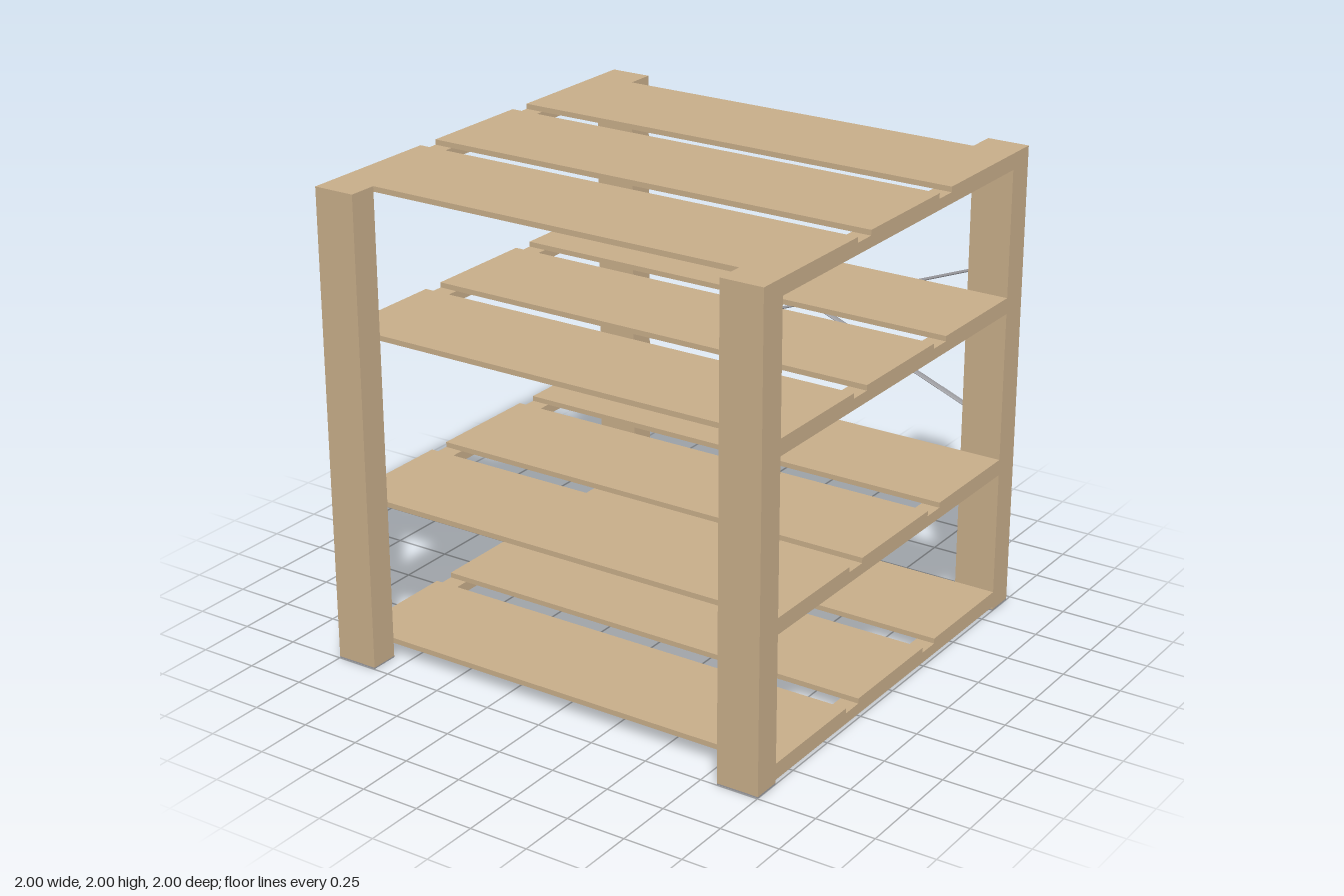
import * as THREE from 'three';

export function createModel() {
  const model = new THREE.Group();
  model.name = 'slattedShelf';
  const wood = new THREE.MeshStandardMaterial({ color: 0xc8ae8a });
  wood.name = 'wood';
  const metal = new THREE.MeshStandardMaterial({ color: 0x9a9a9e });
  metal.name = 'metal';

  // Box given by its lower and upper limits on each axis
  function box(name, material, [x0, x1], [y0, y1], [z0, z1], parent = model) {
    const mesh = new THREE.Mesh(new THREE.BoxGeometry(x1 - x0, y1 - y0, z1 - z0), material);
    mesh.position.set((x0 + x1) / 2, (y0 + y1) / 2, (z0 + z1) / 2);
    mesh.name = name;
    parent.add(mesh);
  }
  const sideX = (side, a, b) => (side > 0 ? [a, b] : [-b, -a]);

  // Corner posts standing on thin metal feet
  const foot = 0.006;
  for (const side of [1, -1]) {
    const label = side > 0 ? 'left' : 'right';
    for (const [end, z] of [['Front', [0.873, 0.997]], ['Back', [-0.967, -0.842]]]) {
      box(`${label}${end}Post`, wood, sideX(side, 0.82, 1), [foot, 2], z);
      box(`${label}${end}Foot`, metal, sideX(side, 0.82, 1), [0, foot], z);
    }
  }

  // Four shelves, each with two side rails and three boards
  const boards = [[0.364, 0.873], [-0.24, 0.27], [-0.842, -0.335]];
  [0.087, 0.69, 1.396, 2].forEach((top, i) => {
    const shelf = new THREE.Group();
    shelf.name = `shelf${i + 1}`;
    const seat = top - 0.022;
    for (const side of [1, -1]) {
      box(side > 0 ? 'leftRail' : 'rightRail', wood, sideX(side, 0.92, 1), [seat - 0.046, seat], [-0.842, 0.873], shelf);
    }
    boards.forEach((z, j) => box(`board${j + 1}`, wood, [-1, 1], [seat, top], z, shelf));
    model.add(shelf);
  });

  // Crossed flattened rods on the back
  const rise = 0.355, run = 0.91;
  const rodGeometry = new THREE.CylinderGeometry(0.0165, 0.0165, 2 * Math.hypot(rise, run), 16);
  rodGeometry.scale(0.33, 1, 1);
  for (const side of [1, -1]) {
    const rod = new THREE.Mesh(rodGeometry, metal);
    rod.name = side > 0 ? 'braceRisingLeft' : 'braceRisingRight';
    rod.position.set(0, 1.13, -0.983);
    rod.rotation.z = -side * Math.atan2(run, rise);
    model.add(rod);
  }
  return model;
}
